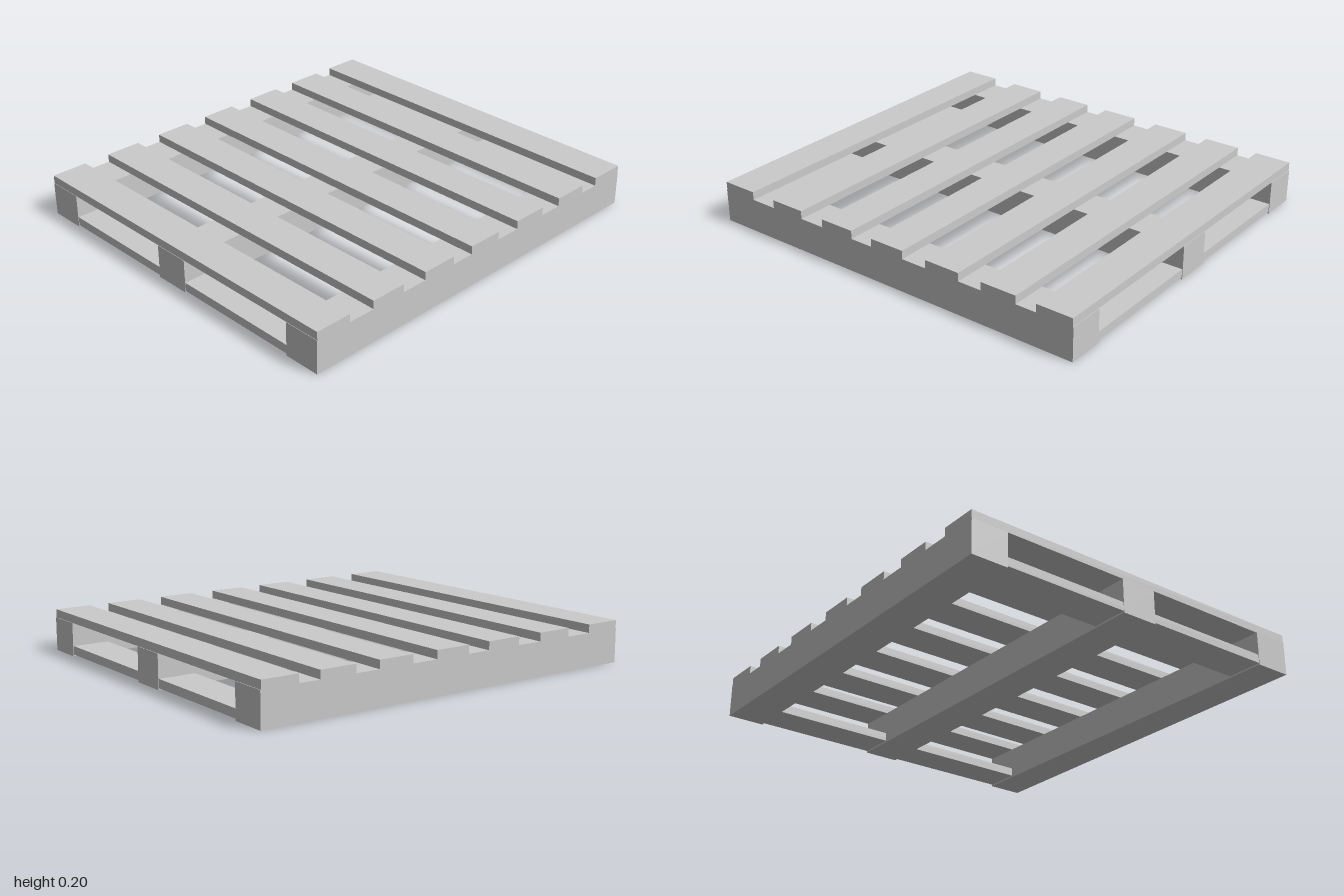
import * as THREE from 'three';

const material = new THREE.MeshStandardMaterial({ color: 0xcccccc, flatShading: true });

// Box given by its lower and upper limits on each axis
function board(name, [x0, x1], [y0, y1], [z0, z1]) {
  const mesh = new THREE.Mesh(new THREE.BoxGeometry(x1 - x0, y1 - y0, z1 - z0), material);
  mesh.name = name;
  mesh.position.set((x0 + x1) / 2, (y0 + y1) / 2, (z0 + z1) / 2);
  return mesh;
}

export function createModel() {
  const pallet = new THREE.Group();
  pallet.name = 'pallet';
  const width = 0.18;
  const half = 0.905;
  const deckY = 0.163;
  const back = -0.997; // cross boards stop just short of the stringer ends

  // Three long stringers running front to back
  [['rightStringer', -half], ['middleStringer', -0.105], ['leftStringer', half - width]].forEach(([name, x]) =>
    pallet.add(board(name, [x, x + width], [0, deckY], [-1, 1])));

  // Seven deck slats across the top
  [back, -0.715, -0.415, -0.105, 0.192, 0.503, 0.818].forEach((z, i) =>
    pallet.add(board(`deckSlat${i + 1}`, [-half, half], [deckY, 0.203], [z, z + 0.18])));

  // Two bottom boards, slightly raised, tying the stringers together
  [['backBottomBoard', back], ['frontBottomBoard', 0.818]].forEach(([name, z]) =>
    pallet.add(board(name, [-half + 0.002, half - 0.002], [0.008, 0.05], [z, z + 0.18])));

  return pallet;
}
